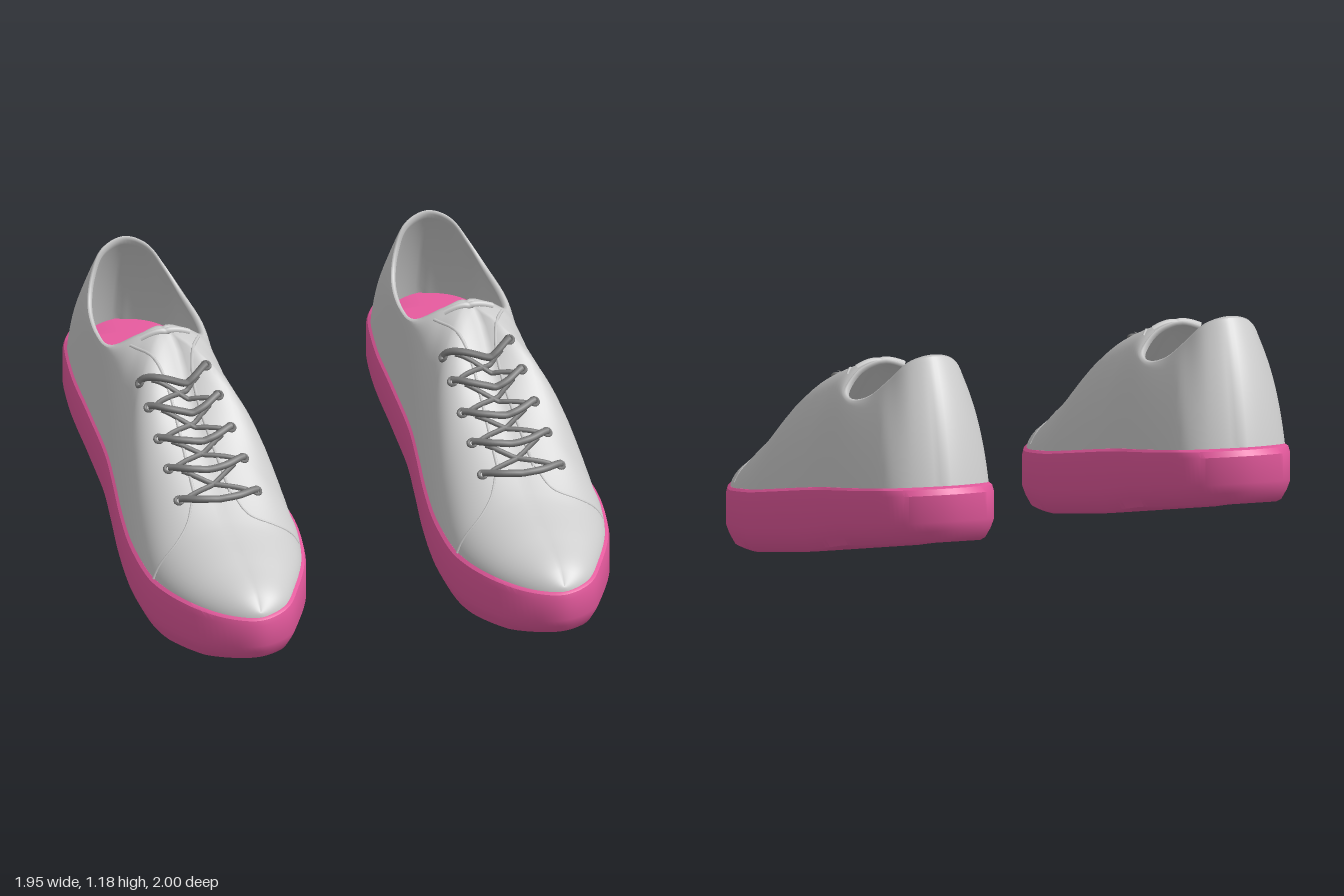
import * as THREE from 'three';
import { mergeVertices, toCreasedNormals } from 'three/addons/utils/BufferGeometryUtils.js';

const V = (x, y, z) => new THREE.Vector3(x, y, z);
const { lerp, smoothstep } = THREE.MathUtils;

// Stations heel to toe: sole z, sole left x, sole right x, top-line left x, right x, y, z
const stations = [
  [-0.97, -0.015, -0.015, -0.05, -0.05, 1.14, -0.66],
  [-0.92, -0.175, 0.145, -0.15, 0.04, 1.11, -0.63],
  [-0.82, -0.254, 0.22, -0.21, 0.1, 1.03, -0.57],
  [-0.62, -0.287, 0.25, -0.25, 0.15, 0.94, -0.47],
  [-0.4, -0.284, 0.26, -0.257, 0.175, 0.89, -0.33],
  [-0.13, -0.28, 0.24, -0.235, 0.15, 0.895, -0.19],
  [0.03, -0.295, 0.28, -0.13, 0.07, 0.955, -0.14],
  [0.23, -0.318, 0.343, -0.03, -0.03, 0.98, -0.13],
  [0.43, -0.325, 0.37, 0, 0, 0.715, 0.2],
  [0.64, -0.295, 0.343, 0.02, 0.02, 0.46, 0.57],
  [0.82, -0.2, 0.265, 0.04, 0.04, 0.365, 0.77],
  [0.95, -0.07, 0.18, 0.055, 0.055, 0.295, 0.91],
  [1.0, 0.06, 0.06, 0.06, 0.06, 0.235, 0.975],
];
const KEYS = 24, N = KEYS * 6;
const order = [...Array(KEYS).keys()].map(k => (k <= 12 ? [k, 0] : [KEYS - k, 1]));
const soleCurve = new THREE.CatmullRomCurve3(
  order.map(([k, s]) => V(stations[k][1 + s], 0, stations[k][0])), true);
const topCurve = new THREE.CatmullRomCurve3(
  order.map(([k, s]) => V(stations[k][3 + s], stations[k][5], stations[k][6])), true);

// Outline point moved inwards by d
function outline(i, d) {
  const p = soleCurve.getPoint(i / N);
  const t = soleCurve.getPoint(((i + 0.5) % N) / N).sub(soleCurve.getPoint(((i - 0.5 + N) % N) / N)).normalize();
  return V(p.x + t.z * d, 0, p.z - t.x * d);
}

// Rim around the opening; in front of it both sides share one ridge line
function topLine(i) {
  const u = (i * KEYS) / N;
  return topCurve.getPoint((u > 12 && u <= 17 ? N - i : i) / N);
}

// Piecewise height along z, with the slight sideways tilt of the sole
function height(table, p) {
  let k = 0;
  while (k < table.length - 2 && p.z < table[k + 1][0]) k++;
  const [z0, y0] = table[k], [z1, y1] = table[k + 1];
  return lerp(y0, y1, (p.z - z0) / (z1 - z0)) + 0.04 * p.x;
}
const soleTop = p => height([[1, 0.21], [0.6, 0.275], [0.33, 0.34], [0, 0.435], [-0.39, 0.54], [-0.77, 0.64], [-0.97, 0.69]], p);
const soleBottom = p => height([[1, 0.025], [0.85, 0.005], [0.68, 0.015], [0.36, 0.07], [0, 0.165], [-0.39, 0.29], [-0.77, 0.4], [-0.97, 0.46]], p);
const heelness = z => 1 - smoothstep(z, -0.95, -0.75);

// Closed rings joined row by row
function loft(rows, point) {
  const pos = [], idx = [];
  for (let r = 0; r < rows; r++)
    for (let i = 0; i < N; i++) pos.push(...point(r, i).toArray());
  for (let r = 0; r < rows - 1; r++)
    for (let i = 0; i < N; i++) {
      const a = r * N + i, b = r * N + ((i + 1) % N);
      idx.push(a, b, a + N, b, b + N, a + N);
    }
  const g = new THREE.BufferGeometry();
  g.setAttribute('position', new THREE.Float32BufferAttribute(pos, 3));
  g.setIndex(idx);
  return g;
}
const smooth = g => {
  const m = mergeVertices(g, 1e-4);
  m.computeVertexNormals();
  return m;
};

// Sole rows: inset, height fraction, extra inset at the heel; null closes onto the centre line
const soleRows = [
  [null, 0, 0], [0.055, 0, 0.005], [0.035, 0.04, 0.005], [0.014, 0.2, 0], [0, 0.36, 0],
  [0, 0.85, 0.003], [0.006, 0.96, 0.014], [0.018, 1, 0.026], [null, 1, 0],
];
function solePoint(r, i) {
  const [inset, f, extra] = soleRows[r];
  const p = outline(i, (inset ?? 0.06) + extra * heelness(outline(i, 0).z));
  if (inset === null) p.x = (p.x + outline((N - i) % N, 0.06).x) / 2;
  p.y = lerp(soleBottom(p), soleTop(p), f);
  return p;
}

// Upper wall from sole edge (v = 0) to top line (v = 1)
function upperPoint(v, i) {
  const o = outline(i, 0);
  const a = outline(i, 0.016 + 0.032 * heelness(o.z) + (o.x > 0 && o.z < 0.5 ? 0.008 : 0));
  a.y = soleTop(a) - 0.013;
  const b = topLine(i);
  const w = lerp(0.3, 0.92, smoothstep(o.z, -0.97, -0.4))
    - 0.14 * smoothstep(o.z, -0.1, 0.1) + 0.14 * smoothstep(o.z, 0.5, 0.8);
  const q = (v * Math.PI) / 2;
  const across = lerp(v, 1 - Math.cos(q), w), up = lerp(v, Math.sin(q), w);
  return V(lerp(a.x, b.x, across), lerp(a.y, b.y, up), lerp(a.z, b.z, across));
}
const UPPER_ROWS = 21;
const inward = (p, k, dy) => V(lerp(p.x, -0.04, k), p.y + dy, lerp(p.z, -0.4, k));
function liningPoint(r, i) {
  if (r === 0) return upperPoint(1, i);
  if (r === 1) return inward(upperPoint(1, i), 0.04, 0.006);
  return inward(upperPoint(1 - (r - 2) / 12, i), 0.085, -0.008);
}

function buildShoe(mats) {
  const shoe = new THREE.Group();
  const add = (name, geo, mat) => {
    const m = new THREE.Mesh(geo, mat);
    m.name = name;
    shoe.add(m);
    return m;
  };
  add('sole', toCreasedNormals(loft(soleRows.length, solePoint), 0.6), mats.sole);
  const upper = add('upper', smooth(loft(UPPER_ROWS, (r, i) => upperPoint(r / (UPPER_ROWS - 1), i))), mats.upper);
  add('lining', smooth(loft(15, liningPoint)), mats.upper);

  // Drop a point onto the upper from above
  const ray = new THREE.Raycaster();
  const drop = (x, z, lift) => {
    ray.set(V(x, 3, z), V(0, -1, 0));
    const hit = ray.intersectObject(upper)[0];
    return V(x, (hit ? hit.point.y : soleTop(V(x, 0, z))) + lift, z);
  };
  const cord = (name, pts, lift, radius, mat, arch = 0) => {
    const flat = new THREE.CatmullRomCurve3(pts.map(([x, z]) => V(x, 0, z)));
    const path = flat.getPoints(14).map((p, k) => drop(p.x, p.z, lift + arch * Math.sin((k / 14) * Math.PI)));
    add(name, new THREE.TubeGeometry(new THREE.CatmullRomCurve3(path), 28, radius, 7), mat);
  };

  // Raised seams: toe cap, edges of the lace panels and the tongue's top
  cord('toeCapSeam', [[-0.285, 0.62], [-0.2, 0.61], [-0.13, 0.56], [-0.08, 0.47]], -0.001, 0.005, mats.upper);
  cord('toeCapSeam', [[0.33, 0.58], [0.22, 0.585], [0.13, 0.56], [0.08, 0.47]], -0.001, 0.005, mats.upper);
  cord('lacePanelEdge', [[-0.17, -0.12], [-0.1, 0], [-0.075, 0.1], [-0.07, 0.47]], -0.002, 0.007, mats.upper);
  cord('lacePanelEdge', [[0.11, -0.12], [0.05, 0], [0.035, 0.1], [0.075, 0.47]], -0.002, 0.007, mats.upper);
  cord('tongueEdge', [[-0.13, -0.12], [-0.03, -0.115], [0.07, -0.12]], 0.002, 0.014, mats.upper);

  // Five lace bars with eyelets, and thinner crossings between them
  const rows = [0.045, 0.145, 0.25, 0.355, 0.47].map((z, k) => ({ z, l: -0.18 + 0.011 * k, r: 0.095 + 0.023 * k }));
  rows.forEach(({ z, l, r }, k) => {
    cord('laceBar', [[l, z], [lerp(l, r, 0.25), z + 0.035], [lerp(l, r, 0.7), z + 0.04], [r, z]], 0.012, 0.015, mats.lace, 0.018);
    for (const x of [l, r]) {
      const eyelet = add('eyelet', new THREE.TorusGeometry(0.016, 0.007, 6, 14), mats.lace);
      const n = drop(x, z + 0.02, 0).sub(drop(x, z - 0.02, 0))
        .cross(drop(x + 0.02, z, 0).sub(drop(x - 0.02, z, 0))).normalize();
      eyelet.position.copy(drop(x, z, 0.005));
      eyelet.quaternion.setFromUnitVectors(V(0, 0, 1), n);
    }
    if (k === 0) return;
    const above = rows[k - 1];
    for (const [from, to] of [[l, above.r], [r, above.l]])
      cord('laceCross', [[lerp(from, to, 0.12), z], [lerp(from, to, 0.5), z - 0.035], [lerp(from, to, 0.85), above.z + 0.02]],
        0.004, 0.011, mats.lace);
  });
  return shoe;
}

export function createModel() {
  const material = (name, color) => {
    const m = new THREE.MeshStandardMaterial({ color });
    m.name = name;
    return m;
  };
  const mats = {
    sole: material('pink rubber', 0xe2589b),
    upper: material('grey leather', 0xcacaca),
    lace: material('dark grey lace', 0x757575),
  };
  const model = new THREE.Group();
  model.name = 'pairOfShoes';
  const left = buildShoe(mats);
  left.name = 'leftShoe';
  left.position.set(0.6, 0, 0);
  const right = left.clone();
  right.name = 'rightShoe';
  right.position.set(-0.65, 0.04, -0.03);
  model.add(left, right);
  return model;
}
